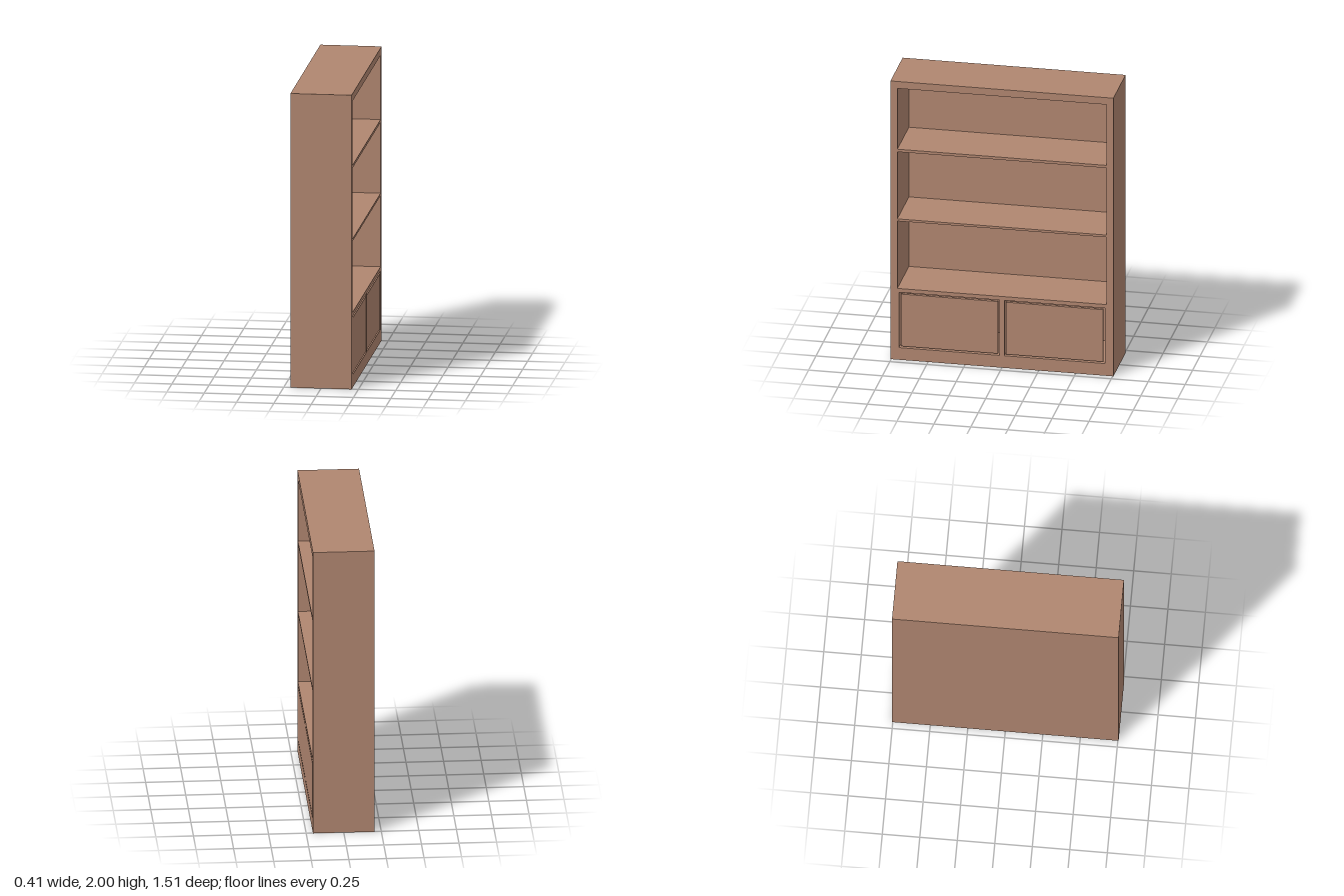
import * as THREE from 'three';

const HALF_DEPTH = 0.205, HALF_WIDTH = 0.755, HEIGHT = 2;
const BACK = 0.022;  // back panel thickness
const GAP = 0.012;   // reveal around each door

// Traces a rectangle on a Shape or Path.
function rect(path, x0, y0, x1, y1) {
  path.moveTo(x0, y0);
  path.lineTo(x1, y0);
  path.lineTo(x1, y1);
  path.lineTo(x0, y1);
  path.closePath();
  return path;
}

export function createModel() {
  const group = new THREE.Group();
  group.name = 'bookcase';
  const wood = new THREE.MeshStandardMaterial({ color: 0xb08670 });

  const add = (name, geometry, x = 0, y = 0, z = 0) => {
    const mesh = new THREE.Mesh(geometry, wood);
    mesh.name = name;
    mesh.position.set(x, y, z);
    group.add(mesh);
  };

  // Carcass: sides, top, plinth, shelves and door frames in one extrusion, open towards +x
  const bays = [[0.512, 0.996], [1.012, 1.494], [1.513, 1.95]];
  const doors = [[-0.697, -0.016], [0.016, 0.697]];
  const doorY = [0.087, 0.485];
  const outline = rect(new THREE.Shape(), -HALF_WIDTH, 0, HALF_WIDTH, HEIGHT);
  for (const [y0, y1] of bays) outline.holes.push(rect(new THREE.Path(), -0.708, y0, 0.708, y1));
  for (const [z0, z1] of doors) outline.holes.push(rect(new THREE.Path(), z0, doorY[0], z1, doorY[1]));
  const carcass = new THREE.ExtrudeGeometry(outline, { depth: 2 * HALF_DEPTH - BACK, bevelEnabled: false });
  carcass.rotateY(Math.PI / 2);
  add('carcassWithShelves', carcass, -HALF_DEPTH + BACK);

  // Back panel
  add('backPanel', new THREE.BoxGeometry(BACK, HEIGHT, 2 * HALF_WIDTH), -HALF_DEPTH + BACK / 2, HEIGHT / 2);

  // Flush cabinet doors
  const thickness = 0.022;
  doors.forEach(([z0, z1], i) => {
    const height = doorY[1] - doorY[0] - 2 * GAP;
    const width = z1 - z0 - 2 * GAP;
    add(i ? 'doorFront' : 'doorRear', new THREE.BoxGeometry(thickness, height, width),
      HALF_DEPTH - thickness / 2, (doorY[0] + doorY[1]) / 2, (z0 + z1) / 2);
  });

  return group;
}
